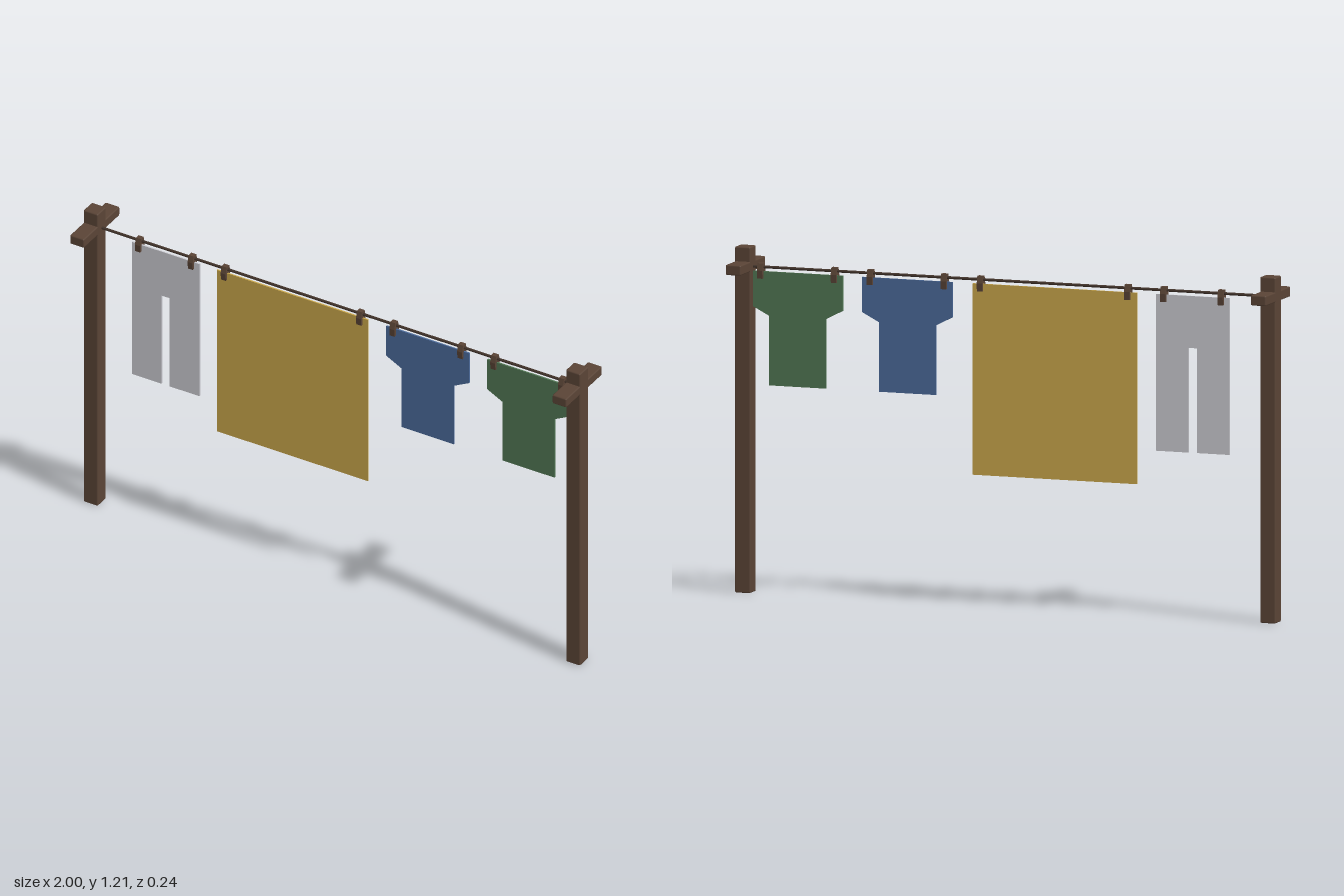
import * as THREE from 'three';
import { RoundedBoxGeometry } from 'three/addons/geometries/RoundedBoxGeometry.js';

const material = (name, color) => {
  const m = new THREE.MeshStandardMaterial({ color });
  m.name = name;
  return m;
};

export function createModel() {
  const root = new THREE.Group();
  root.name = 'clothesline';
  const wood = material('dark wood', 0x5a4436);
  const rope = material('rope', 0x43342b);
  const gold = material('gold cloth', 0xc9a64b);
  const grey = material('pale grey cloth', 0xcacad0);
  const blue = material('blue cloth', 0x4b6a9a);
  const green = material('green cloth', 0x517653);

  const add = (parent, name, geometry, mat, x = 0, y = 0, z = 0) => {
    const mesh = new THREE.Mesh(geometry, mat);
    mesh.name = name;
    mesh.position.set(x, y, z);
    parent.add(mesh);
    return mesh;
  };

  // Posts with cross arms, bevelled edges
  const postGeo = new RoundedBoxGeometry(0.058, 1.21, 0.058, 1, 0.005);
  const armGeo = new RoundedBoxGeometry(0.057, 0.036, 0.242, 1, 0.005);
  for (const [side, name] of [[-1, 'rightPost'], [1, 'leftPost']]) {
    const group = new THREE.Group();
    group.name = name;
    group.position.x = side * 0.971;
    add(group, 'post', postGeo, wood, 0, 0.605);
    add(group, 'crossArm', armGeo, wood, 0, 1.141);
    root.add(group);
  }

  // Line between the posts
  add(root, 'line', new THREE.CylinderGeometry(0.005, 0.005, 1.92, 8), rope, 0, 1.14)
    .rotation.z = Math.PI / 2;

  // Cloth cut from a flat outline
  const thickness = 0.006;
  const cloth = (name, points, mat, x) => {
    const shape = new THREE.Shape(points.map(([px, py]) => new THREE.Vector2(px, py)));
    const geo = new THREE.ExtrudeGeometry(shape, { depth: thickness, bevelEnabled: false });
    geo.translate(0, 0, -thickness / 2);
    add(root, name, geo, mat, x);
  };
  // Right half of an outline, from the bottom up, mirrored about x = 0
  const mirrored = (half) => [...half, ...half.map(([x, y]) => [-x, y]).reverse()];

  cloth('trousers', mirrored([[0.016, 0.943], [0.016, 0.577], [0.136, 0.577], [0.136, 1.125]]), grey, -0.684);
  cloth('sheet', mirrored([[0.304, 0.456], [0.304, 1.125]]), gold, -0.174);
  const shirt = mirrored([[0.105, 0.727], [0.105, 0.97], [0.167, 1.002], [0.167, 1.125]]);
  cloth('blueShirt', shirt, blue, 0.371);
  cloth('greenShirt', shirt, green, 0.777);

  // Pegs: forked clips straddling the line
  const fork = new THREE.Shape(mirrored([
    [0.005, 1.127], [0.005, 1.1], [0.014, 1.1], [0.016, 1.128], [0.009, 1.153],
  ]).map(([x, y]) => new THREE.Vector2(x, y)));
  const pegGeo = new THREE.ExtrudeGeometry(fork, { depth: 0.02, bevelEnabled: false });
  pegGeo.translate(0, 0, -0.01).rotateY(Math.PI / 2);
  for (const x of [-0.79, -0.578, -0.445, 0.1, 0.234, 0.507, 0.64, 0.913]) {
    add(root, 'peg', pegGeo, wood, x);
  }
  return root;
}
